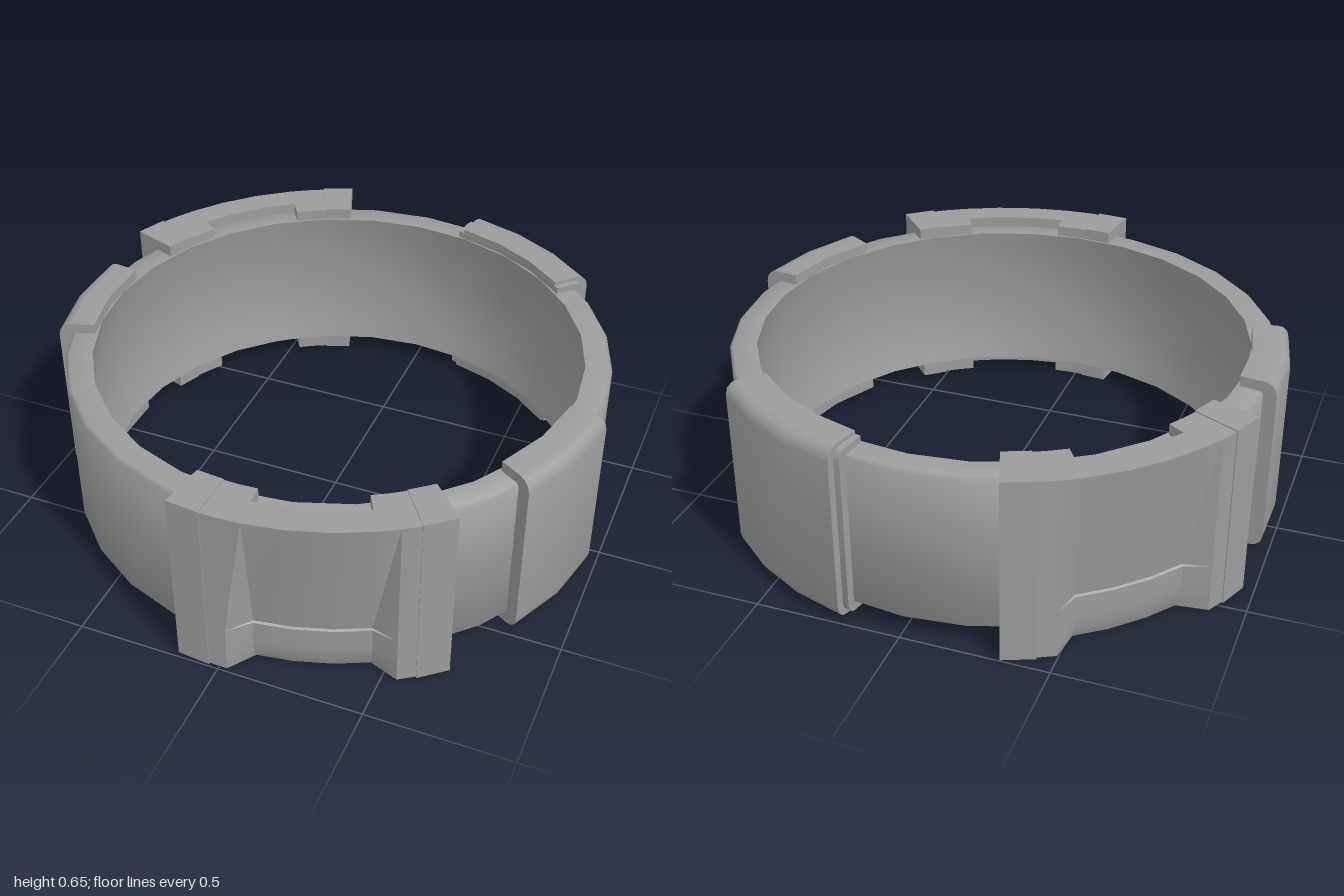
import * as THREE from 'three';
import { toCreasedNormals } from 'three/addons/utils/BufferGeometryUtils.js';

const material = new THREE.MeshStandardMaterial({ color: 0x9c9c9c });
const CENTRE_Z = -0.03;
const SIDES = 28;
const INNER = 0.855, BAND_LOW = 0.055, BAND_TOP = 0.61;

// Sweeps a (radius, height) outline about the ring axis. Angles are in degrees,
// 0 at the front and growing towards +x; sections are { a, pts }.
function sweep(name, sections, crease = 0.9, capped = true) {
  const pos = [];
  const rows = sections.map(({ a, pts }) => {
    const t = THREE.MathUtils.degToRad(a);
    return pts.map(([r, y]) => [r * Math.sin(t), y, r * Math.cos(t)]);
  });
  const tri = (a, b, c) => pos.push(...a, ...b, ...c);
  const n = rows[0].length;
  for (let i = 0; i < rows.length - 1; i++) {
    for (let j = 0; j < n; j++) {
      const k = (j + 1) % n;
      tri(rows[i][j], rows[i + 1][j], rows[i + 1][k]);
      tri(rows[i][j], rows[i + 1][k], rows[i][k]);
    }
  }
  if (capped) {
    const first = rows[0], last = rows[rows.length - 1];
    const contour = sections[0].pts.map(([r, y]) => new THREE.Vector2(r, y));
    for (const [a, b, c] of THREE.ShapeUtils.triangulateShape(contour, [])) {
      tri(first[a], first[b], first[c]);
      tri(last[a], last[c], last[b]);
    }
  }
  const geometry = new THREE.BufferGeometry();
  geometry.setAttribute('position', new THREE.Float32BufferAttribute(pos, 3));
  const mesh = new THREE.Mesh(toCreasedNormals(geometry, crease), material);
  mesh.name = name;
  return mesh;
}

// Constant outline between two angles
function arc(name, a0, a1, steps, pts, capped) {
  const sections = [];
  for (let i = 0; i <= steps; i++) sections.push({ a: a0 + (a1 - a0) * i / steps, pts });
  return sweep(name, sections, 0.9, capped);
}

// Closes an outer outline with lips that hook over the band's top and bottom
const hooked = (outer, y0, y1, inner = INNER) => [
  [inner, y0], ...outer, [inner, y1],
  [inner, BAND_TOP], [0.925, BAND_TOP], [0.925, BAND_LOW], [inner, BAND_LOW],
];

// Block outline with rounded outer corners
function blockOutline(r, y0, y1, c) {
  const outer = [];
  for (let i = 0; i <= 3; i++) {
    const t = i / 3 * Math.PI / 2;
    outer.push([r - c + c * Math.sin(t), y0 + c - c * Math.cos(t)]);
  }
  for (let i = 0; i <= 3; i++) {
    const t = i / 3 * Math.PI / 2;
    outer.push([r - c + c * Math.cos(t), y1 - c + c * Math.sin(t)]);
  }
  return hooked(outer, y0, y1);
}

// Band outline: softened outer edges and a gently hollowed inner wall
function bandOutline() {
  const pts = [[0.85, BAND_LOW], [0.932, BAND_LOW], [0.942, 0.065], [0.942, 0.6], [0.932, BAND_TOP], [0.85, BAND_TOP]];
  for (let i = 1; i < 8; i++) {
    const u = i / 8;
    pts.push([0.85 + 0.14 * u * (1 - u), BAND_TOP - (BAND_TOP - BAND_LOW) * u]);
  }
  return pts;
}

// Large clip: two end pillars and a shell with a scooped face, notched over the band
function clip(name, angle) {
  const group = new THREE.Group();
  group.name = name;
  const pillar = hooked([[1.023, 0], [1.023, 0.652]], 0, 0.652);
  for (const side of [-1, 1]) {
    const a = side * 22.3;
    group.add(arc('clipPillar', a - 3.2, a + 3.2, 1, pillar));
  }
  // scoop = 0 on the rim, 1 where the face is fully recessed
  const section = (a, inner, scoop) => ({
    a,
    pts: hooked([
      [1.02 - 0.085 * scoop, 0.004],
      [1.02 - 0.07 * scoop, 0.04],
      [1.02 - 0.063 * scoop, 0.09],
      [1.02 - 0.063 * scoop, 0.172],
      [1.02 - 0.071 * scoop, 0.176],
      [1.02, 0.648],
    ], 0.004, 0.648, inner),
  });
  const NOTCH = 0.92;
  group.add(sweep('clipShell', [
    section(-19.2, INNER, 0), section(-15.5, INNER, 0), section(-11.5, INNER, 1),
    section(-11.5, NOTCH, 1), section(-4, NOTCH, 1), section(4, NOTCH, 1),
    section(11.5, NOTCH, 1), section(11.5, INNER, 1), section(15.5, INNER, 0), section(19.2, INNER, 0),
  ], 0.6));
  group.rotation.y = THREE.MathUtils.degToRad(angle);
  return group;
}

export function createModel() {
  const model = new THREE.Group();
  model.name = 'ring';

  // Plain band
  model.add(arc('band', 0, 360, SIDES, bandOutline(), false));

  // Scooped clips at the front and back left
  model.add(clip('frontClip', 17.1), clip('backClip', -135.4));

  // Rounded side blocks
  const block = blockOutline(0.983, 0.012, 0.647, 0.045);
  model.add(arc('leftBlock', 58.4, 83.7, 2, block));
  model.add(arc('rightBlock', -97, -71.7, 2, block));

  // Back block on a thinner flange
  model.add(arc('backBlock', 135.2, 167.9, 3, blockOutline(0.993, 0.012, 0.647, 0.045)));
  model.add(arc('backBlockFlange', 133.8, 169.3, 3, blockOutline(0.968, 0.025, 0.634, 0.035)));

  for (const part of model.children) part.position.z = CENTRE_Z;
  return model;
}
